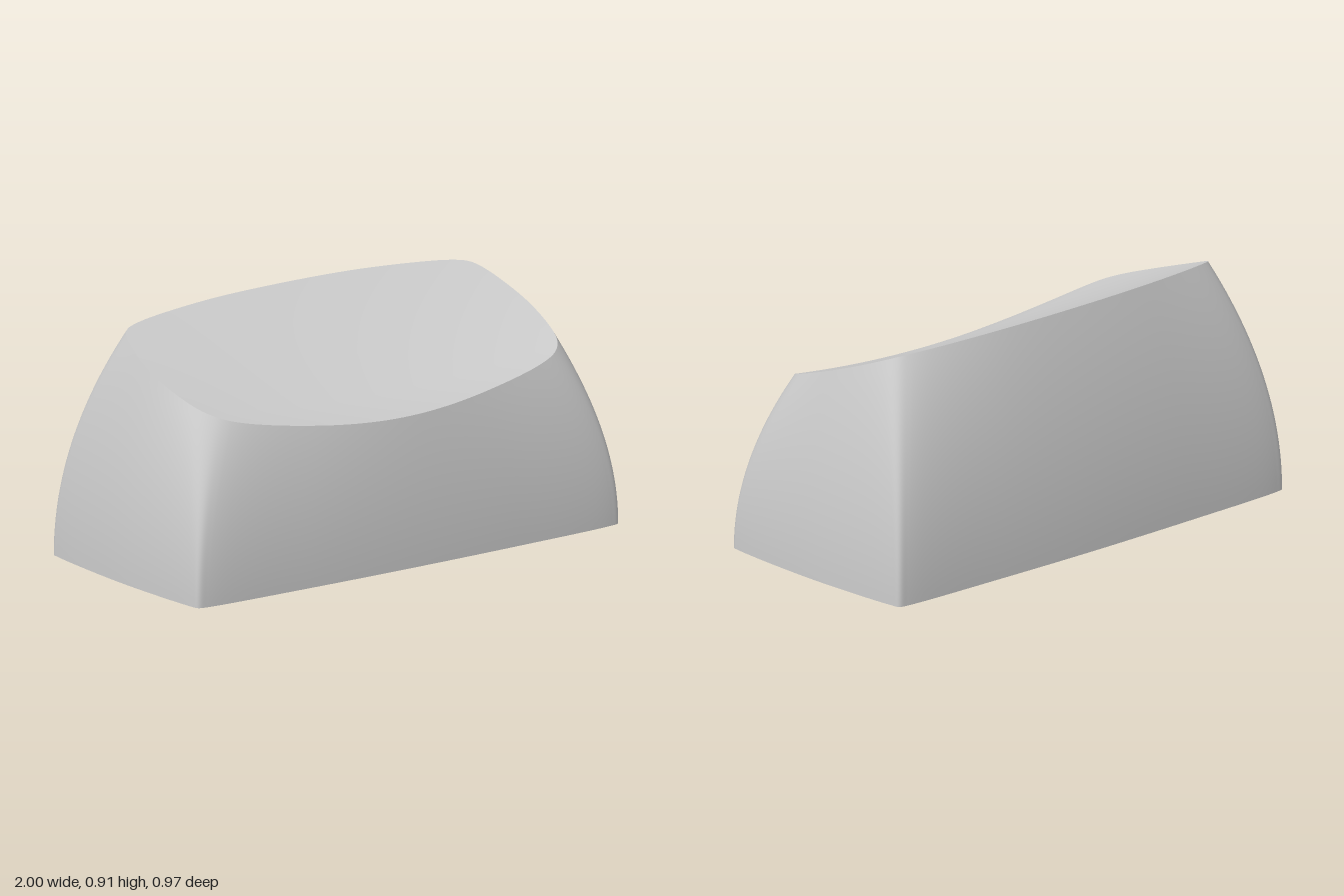
import * as THREE from 'three';
import { toCreasedNormals } from 'three/addons/utils/BufferGeometryUtils.js';

const material = new THREE.MeshStandardMaterial({ color: 0xcccccc });
const SEGMENTS = 192;

// Half outlines (x, z) from the middle of the back to the middle of the front
const BASE = [[0, -0.487], [0.5, -0.48], [0.93, -0.465], [0.972, -0.455], [0.98, -0.42],
  [1, 0], [0.98, 0.42], [0.972, 0.452], [0.93, 0.463], [0.5, 0.479], [0, 0.485]];
const RIM = [[0, -0.342], [0.4, -0.325], [0.73, -0.27], [0.797, -0.237], [0.832, -0.17],
  [0.863, 0.03], [0.838, 0.23], [0.803, 0.3], [0.74, 0.345], [0.4, 0.403], [0, 0.428]];

// Mirror a half outline and sample it as a closed smooth loop
function outline(half) {
  const mirrored = half.slice(1, -1).reverse().map(([x, z]) => [-x, z]);
  const points = [...half, ...mirrored].map(([x, z]) => new THREE.Vector3(x, 0, z));
  const curve = new THREE.CatmullRomCurve3(points, true, 'centripetal');
  return Array.from({ length: SEGMENTS }, (_, i) => curve.getPoint(i / SEGMENTS));
}

// Height of the dished top, rolling over at the front
function topHeight(x, z) {
  const roll = Math.max(0, z - 0.3);
  return 0.75 - 0.44 * z + 0.12 * z * z - 0.8 * roll * roll + (0.06 + 0.09 * z) * x * x;
}

// Skin a list of closed rings
function skin(rings, flip = false) {
  const positions = [], index = [];
  rings.forEach((ring) => ring.forEach((p) => positions.push(p.x, p.y, p.z)));
  for (let r = 0; r < rings.length - 1; r++) {
    for (let i = 0; i < SEGMENTS; i++) {
      const j = (i + 1) % SEGMENTS;
      const a = r * SEGMENTS + i, b = r * SEGMENTS + j;
      const c = a + SEGMENTS, d = b + SEGMENTS;
      if (flip) index.push(a, b, c, b, d, c);
      else index.push(a, c, b, b, c, d);
    }
  }
  const geometry = new THREE.BufferGeometry();
  geometry.setAttribute('position', new THREE.Float32BufferAttribute(positions, 3));
  geometry.setIndex(index);
  geometry.computeVertexNormals();
  return geometry;
}

// Base and top loops, optionally pulled inwards and lowered
function loops(inset, drop) {
  const base = outline(BASE).map((p) => new THREE.Vector3(p.x * (1 - inset), 0, p.z * (1 - 2 * inset)));
  const rim = outline(RIM).map((p) => {
    const x = p.x * (1 - inset), z = 0.04 + (p.z - 0.04) * (1 - 2 * inset);
    return new THREE.Vector3(x, topHeight(x, z) - drop, z);
  });
  return { base, rim };
}

// Walls bow inwards with the square of the height
function wallRings({ base, rim }) {
  const steps = 24;
  return Array.from({ length: steps + 1 }, (_, s) => {
    const t = s / steps;
    return base.map((p, i) => new THREE.Vector3(
      p.x + (rim[i].x - p.x) * t * t, rim[i].y * t, p.z + (rim[i].z - p.z) * t * t));
  });
}

// Dished surface from the rim in to its centre
function dishRings({ rim }, drop) {
  const steps = 20;
  return Array.from({ length: steps + 1 }, (_, s) => {
    const k = Math.max(1 - s / steps, 0.0005);
    return rim.map((p) => {
      const x = p.x * k, z = 0.04 + (p.z - 0.04) * k;
      return new THREE.Vector3(x, topHeight(x, z) - drop, z);
    });
  });
}

// Stem: bevelled socket with a cross slot, and a solid post above it
function createStem() {
  const stem = new THREE.Group();
  const radius = 0.147, depth = 0.2, bevel = 0.014;
  const shape = new THREE.Shape().absarc(0, 0, radius, 0, Math.PI * 2, false);
  const long = 0.105, thin = 0.033;
  const corners = [];
  for (let q = 0; q < 4; q++) {
    const c = Math.round(Math.cos(q * Math.PI / 2)), s = Math.round(Math.sin(q * Math.PI / 2));
    for (const [x, y] of [[long, -thin], [long, thin], [thin, thin]]) {
      corners.push(new THREE.Vector2(x * c - y * s, x * s + y * c));
    }
  }
  shape.holes.push(new THREE.Path(corners.reverse()));
  const socketGeometry = new THREE.ExtrudeGeometry(shape, {
    depth, curveSegments: 32, bevelEnabled: true, bevelThickness: bevel,
    bevelSize: bevel, bevelOffset: -bevel, bevelSegments: 1,
  });
  socketGeometry.rotateX(-Math.PI / 2).translate(0, bevel, 0);
  const socket = new THREE.Mesh(toCreasedNormals(socketGeometry, 0.5), material);
  socket.name = 'stemSocket';

  const bottom = depth, top = 0.67;
  const post = new THREE.Mesh(new THREE.CylinderGeometry(radius, radius, top - bottom, 64), material);
  post.position.y = (top + bottom) / 2;
  post.name = 'stemPost';
  stem.add(socket, post);
  return stem;
}

export function createModel() {
  const model = new THREE.Group();
  model.name = 'keycap';
  const add = (name, geometry) => {
    const mesh = new THREE.Mesh(geometry, material);
    mesh.name = name;
    model.add(mesh);
  };

  const drop = 0.1;
  const outer = loops(0, 0);
  const inner = loops(0.08, drop);
  add('outerWalls', skin(wallRings(outer)));
  add('dishedTop', skin(dishRings(outer, 0)));
  add('innerWalls', skin(wallRings(inner), true));
  add('ceiling', skin(dishRings(inner, drop), true));
  add('bottomRim', skin([outer.base, inner.base], true));

  // Three stems in a row
  ['rightStem', 'centreStem', 'leftStem'].forEach((name, i) => {
    const stem = createStem();
    stem.name = name;
    stem.position.x = (i - 1) * 0.648;
    model.add(stem);
  });
  return model;
}
